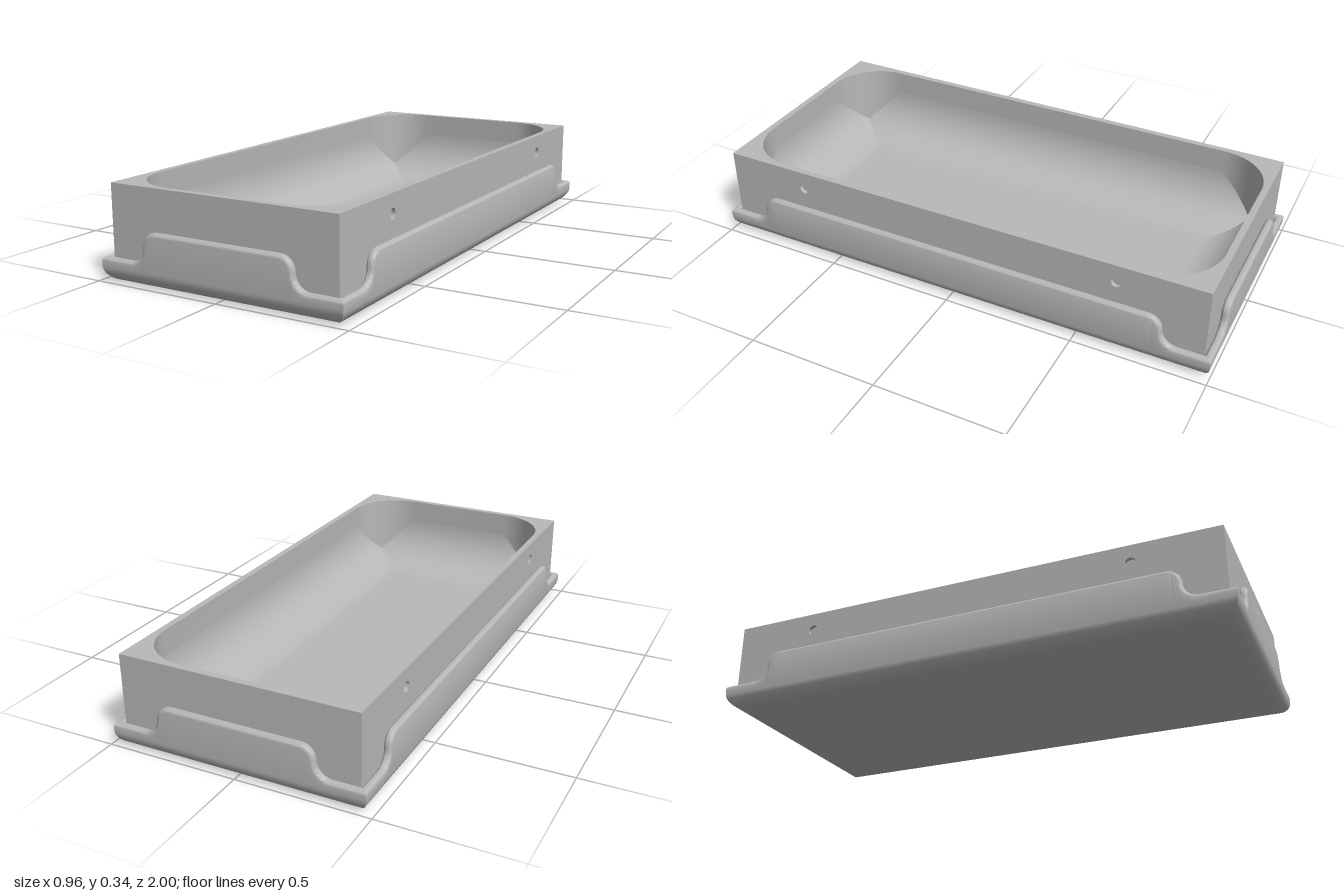
import * as THREE from 'three';
import { toCreasedNormals } from 'three/addons/utils/BufferGeometryUtils.js';

const HX = 0.48, HZ = 1;             // half size of the skirt
const BX = 0.45, BZ = 0.97, TOP = 0.345; // half size and height of the body
const OX = 0.425, OZ = 0.945, R = 0.2, FLOOR = 0.05; // bowl opening, radius, floor

const grey = new THREE.MeshStandardMaterial({ color: 0xb8b8b8, side: THREE.DoubleSide });
grey.name = 'grey';

// Surface through a grid of points, rows[i][j] = [x, y, z]
function loft(rows, crease = 0.6) {
  const pos = [];
  const tri = (a, b, c) => {
    const d = (p, q) => Math.hypot(p[0] - q[0], p[1] - q[1], p[2] - q[2]);
    if (d(a, b) > 1e-6 && d(b, c) > 1e-6 && d(a, c) > 1e-6) pos.push(...a, ...b, ...c);
  };
  for (let i = 0; i < rows.length - 1; i++) {
    for (let j = 0; j < rows[i].length - 1; j++) {
      const a = rows[i][j], b = rows[i][j + 1], c = rows[i + 1][j + 1], d = rows[i + 1][j];
      tri(a, b, c);
      tri(a, c, d);
    }
  }
  const g = new THREE.BufferGeometry();
  g.setAttribute('position', new THREE.Float32BufferAttribute(pos, 3));
  return toCreasedNormals(g, crease);
}

// Rounded rectangle of the bowl opening, counter-clockwise in (x, y = -z)
function openingPoints(n = 16) {
  const pts = [];
  const corners = [[1, 1], [-1, 1], [-1, -1], [1, -1]];
  corners.forEach(([sx, sy], k) => {
    for (let i = 0; i <= n; i++) {
      const a = (k + i / n) * Math.PI / 2;
      pts.push([sx * (OX - R) + R * Math.cos(a), sy * (OZ - R) + R * Math.sin(a)]);
    }
  });
  return pts;
}

// Upper edge of one skirt panel: raised middle, S-curves, low corners. [x, y, nx, ny]
function skirtEdge(L) {
  const half = [], r = 0.055, mid = L - 0.18, n = 12;
  for (let i = 0; i <= n; i++) {
    const a = Math.PI / 2 * (1 - i / n);
    half.push([mid - r + r * Math.cos(a), 0.145 + r * Math.sin(a), Math.cos(a), Math.sin(a)]);
  }
  for (let i = 1; i <= n; i++) {
    const a = Math.PI / 2 * i / n;
    half.push([mid + r - r * Math.cos(a), 0.145 - r * Math.sin(a), Math.cos(a), Math.sin(a)]);
  }
  half.push([L, 0.09, 0, 1]);
  const left = half.map(([x, y, nx, ny]) => [-x, y, -nx, ny]).reverse();
  return [...left, ...half];
}

// Skirt panel facing +z: rounded bottom edge, flat face, rounded lip, mitred ends
function skirtPanel(L, dist) {
  const edge = skirtEdge(L), b = 0.06, r = 0.015, rows = [];
  const addRow = (inset, at) => rows.push(edge.map((p, i) => {
    const [x, y] = at(p);
    const end = i === 0 ? -1 : i === edge.length - 1 ? 1 : 0;
    return [end ? end * (L - inset) : x, y, dist - inset];
  }));
  // keep the columns of the rounded bottom inside the mitre
  for (let j = 0; j <= 10; j++) {
    const t = j / 10 * Math.PI / 2;
    addRow(b * (1 - Math.sin(t)), (p) => [p[0], b * (1 - Math.cos(t))]);
  }
  for (let j = 0; j <= 12; j++) {
    const t = j / 12 * Math.PI, off = r * (1 - Math.sin(t));
    addRow(r * (1 - Math.cos(t)), ([x, y, nx, ny]) => [x - nx * off, y - ny * off]);
  }
  return loft(rows);
}

export function createModel() {
  const model = new THREE.Group();
  model.name = 'tray';
  const add = (name, geometry, parent = model) => {
    const m = new THREE.Mesh(geometry, grey);
    m.name = name;
    parent.add(m);
    return m;
  };

  // Skirt with its underside
  const skirt = new THREE.Group();
  skirt.name = 'skirt';
  model.add(skirt);
  ['skirtFront', 'skirtLeft', 'skirtBack', 'skirtRight'].forEach((name, i) => {
    const panel = i % 2 ? skirtPanel(HZ, HX) : skirtPanel(HX, HZ);
    add(name, panel, skirt).rotation.y = i * Math.PI / 2;
  });
  add('underside', new THREE.PlaneGeometry(2 * (HX - 0.06), 2 * (HZ - 0.06)), skirt)
    .rotation.x = Math.PI / 2;

  // Body walls; the long ones have two blind peg holes each
  const low = 0.06, holeR = 0.02, holeY = 0.275, holeZ = 0.64, depth = 0.015;
  ['wallFront', 'wallLeft', 'wallBack', 'wallRight'].forEach((name, i) => {
    const long = i % 2 === 1, h = long ? BZ : BX, d = long ? BX : BZ;
    const wall = new THREE.Group();
    wall.name = name;
    wall.rotation.y = i * Math.PI / 2;
    model.add(wall);
    const s = new THREE.Shape([[-h, low], [h, low], [h, TOP], [-h, TOP]]
      .map(([x, y]) => new THREE.Vector2(x, y)));
    if (long) {
      for (const x of [-holeZ, holeZ]) {
        s.holes.push(new THREE.Path().absarc(x, holeY, holeR, 0, Math.PI * 2, true));
        const bore = new THREE.CylinderGeometry(holeR, holeR, depth, 24, 1, true);
        const side = add('pegHole', bore, wall);
        side.rotation.x = Math.PI / 2;
        side.position.set(x, holeY, d - depth / 2);
        add('pegHoleEnd', new THREE.CircleGeometry(holeR, 24), wall)
          .position.set(x, holeY, d - depth);
      }
    }
    add(name + 'Face', new THREE.ShapeGeometry(s, 12), wall).position.z = d;
  });

  // Flat rim around the opening
  const opening = openingPoints();
  const rim = new THREE.Shape([[-BX, -BZ], [BX, -BZ], [BX, BZ], [-BX, BZ]]
    .map(([x, y]) => new THREE.Vector2(x, y)));
  rim.holes.push(new THREE.Path(opening.map(([x, y]) => new THREE.Vector2(x, y)).reverse()));
  const rimMesh = add('rim', new THREE.ShapeGeometry(rim));
  rimMesh.rotation.x = -Math.PI / 2;
  rimMesh.position.y = TOP;

  // Bowl: upright wall, then coved sides that meet in mitred corners
  const loop = [...opening, opening[0]];
  const cove = (d) => {
    const k = Math.max(0, R - d);
    return R - Math.sqrt(Math.max(0, R * R - k * k));
  };
  const height = (x, y) => FLOOR + Math.max(cove(OX - Math.abs(x)), cove(OZ - Math.abs(y)));
  const clamp = THREE.MathUtils.clamp;
  const coveRows = [];
  for (let j = 0; j <= 14; j++) {
    const t = 1 - Math.cos(j / 14 * Math.PI / 2);
    coveRows.push(loop.map(([x, y]) => {
      const px = THREE.MathUtils.lerp(x, clamp(x, R - OX, OX - R), t);
      const py = THREE.MathUtils.lerp(y, clamp(y, R - OZ, OZ - R), t);
      return [px, height(px, py), -py];
    }));
  }
  const rimRow = loop.map(([x, y]) => [x, TOP, -y]);
  add('bowlWall', loft([coveRows[0], rimRow].reverse()));
  add('bowlCove', loft(coveRows, 0.35));
  const floor = add('bowlFloor', new THREE.PlaneGeometry(2 * (OX - R), 2 * (OZ - R)));
  floor.rotation.x = -Math.PI / 2;
  floor.position.y = FLOOR;

  return model;
}
